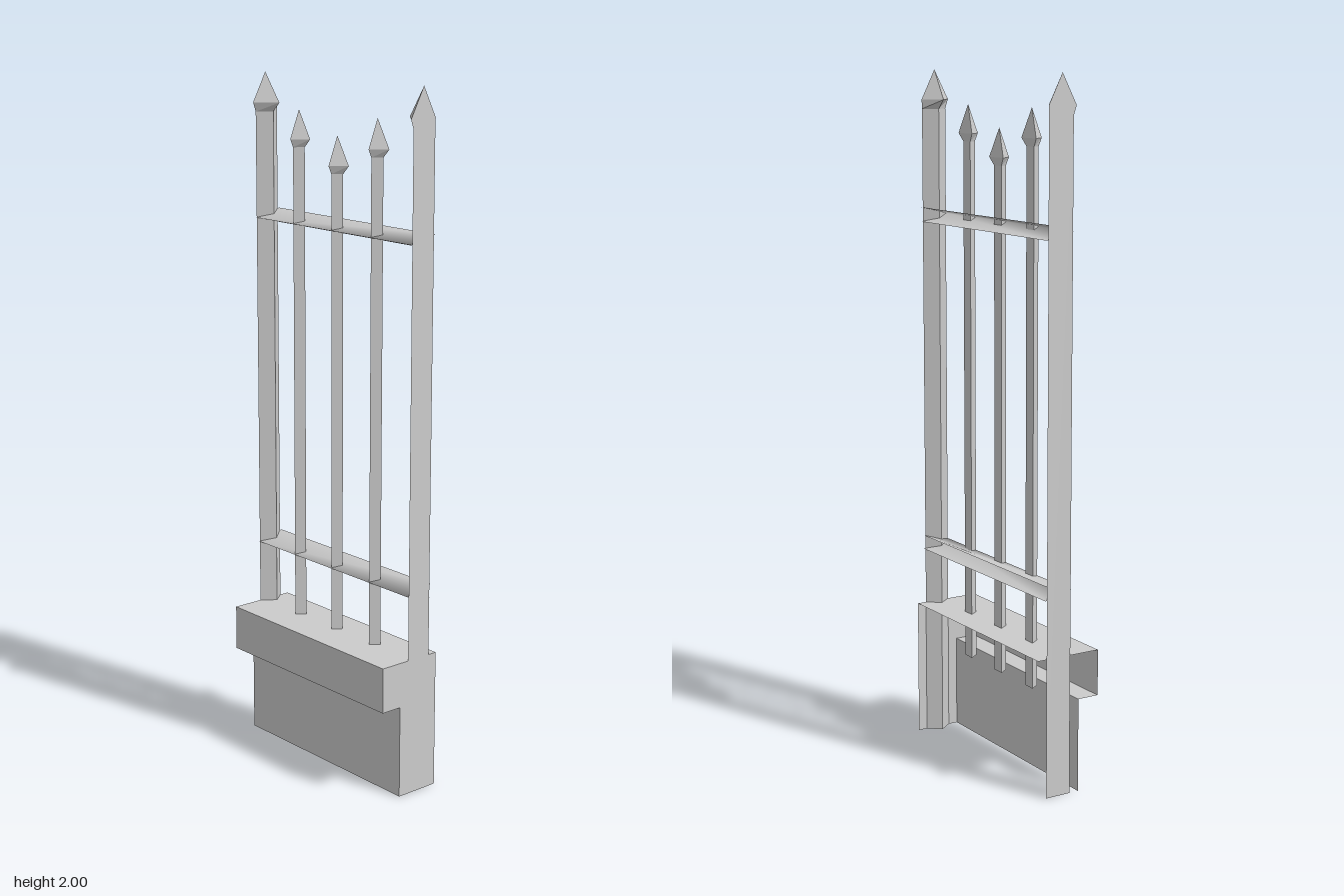
import * as THREE from 'three';

const grey = new THREE.MeshStandardMaterial({ color: 0xcccccc, side: THREE.DoubleSide });
const grayFlat = new THREE.MeshStandardMaterial({ color: 0xcccccc, side: THREE.DoubleSide, flatShading: true });

// Three-sided bar lofted through rings [y, [[x, z] * 3]], counter-clockwise from above
function triangularBar(rings) {
  const pos = [], idx = [];
  rings.forEach(([y, pts]) => pts.forEach(([x, z]) => pos.push(x, y, z)));
  for (let r = 0; r < rings.length - 1; r++) {
    for (let j = 0; j < 3; j++) {
      const a = r * 3 + j, b = r * 3 + (j + 1) % 3;
      idx.push(a, b, b + 3);
      if (r < rings.length - 2) idx.push(a, b + 3, a + 3); // last ring is the tip
    }
  }
  idx.push(0, 2, 1);
  return surface(pos, idx).toNonIndexed();
}

function surface(pos, idx) {
  const g = new THREE.BufferGeometry();
  g.setAttribute('position', new THREE.Float32BufferAttribute(pos, 3));
  g.setIndex(idx);
  g.computeVertexNormals();
  return g;
}

// Shaft with a spearhead: y0 foot, top = tip height
function spear(name, y0, top, neck, wide, body, head, tip) {
  const g = triangularBar([
    [y0, body], [top - neck, body], [top - wide, head], [top, [tip, tip, tip]],
  ]);
  g.computeVertexNormals();
  const m = new THREE.Mesh(g, grayFlat);
  m.name = name;
  return m;
}

export function createModel() {
  const model = new THREE.Group();
  const W = 0.335;

  // Base shell: stepped front, open at the back, underneath and on the right end
  const profile = [[0.035, 0], [0.035, 0.272], [0.1, 0.272], [0.1, 0.405], [-0.1, 0.405]]; // z, y
  const pos = [], idx = [];
  profile.forEach(([z, y]) => pos.push(-W, y, z, W, y, z));
  for (let i = 0; i < profile.length - 1; i++) {
    const a = i * 2;
    idx.push(a, a + 1, a + 3, a, a + 3, a + 2);
  }
  const shell = new THREE.Mesh(surface(pos, idx).toNonIndexed(), grayFlat);
  shell.geometry.computeVertexNormals();
  shell.name = 'baseShell';
  model.add(shell);

  // Left end wall of the base
  const outline = [...profile, [-0.1, 0]].map(([z, y]) => new THREE.Vector2(-z, y));
  const wall = new THREE.Mesh(new THREE.ShapeGeometry(new THREE.Shape(outline)), grayFlat);
  wall.rotation.y = Math.PI / 2;
  wall.position.x = W;
  wall.name = 'baseEndWall';
  model.add(wall);

  // Three pickets, flat at the back with a ridge in front
  for (const [x, top] of [[-0.167, 1.905], [0, 1.845], [0.167, 1.905]]) {
    const tri = (w, back, front) => [[x - w, back], [x, front], [x + w, back]];
    model.add(spear('picket', 0.27, top, 0.105, 0.082,
      tri(0.019, -0.022, 0.005), tri(0.037, -0.027, 0.015), [x, -0.017]));
  }

  // End posts, flat on the outside with a ridge facing inwards
  for (const s of [1, -1]) {
    const tri = (inner, front, back) => {
      const p = [[s * inner, -0.034], [s * W, front], [s * W, back]];
      return s > 0 ? p : p.reverse();
    };
    model.add(spear(s > 0 ? 'leftPost' : 'rightPost', 0, 2, 0.112, 0.085,
      tri(0.304, 0.006, -0.072), tri(0.276, 0.015, -0.073), [s * W, -0.03]));
  }

  // Rails: V channels opening to the back, with a soft front ridge
  for (const y of [0.594, 1.583]) {
    const p = [], section = [[-0.077, -0.021], [0.008, 0], [-0.077, 0.021]];
    section.forEach(([z, dy]) => p.push(-W, y + dy, z, W, y + dy, z));
    const rail = new THREE.Mesh(surface(p, [0, 1, 3, 0, 3, 2, 2, 3, 5, 2, 5, 4]), grey);
    rail.name = 'rail';
    model.add(rail);
  }
  return model;
}
